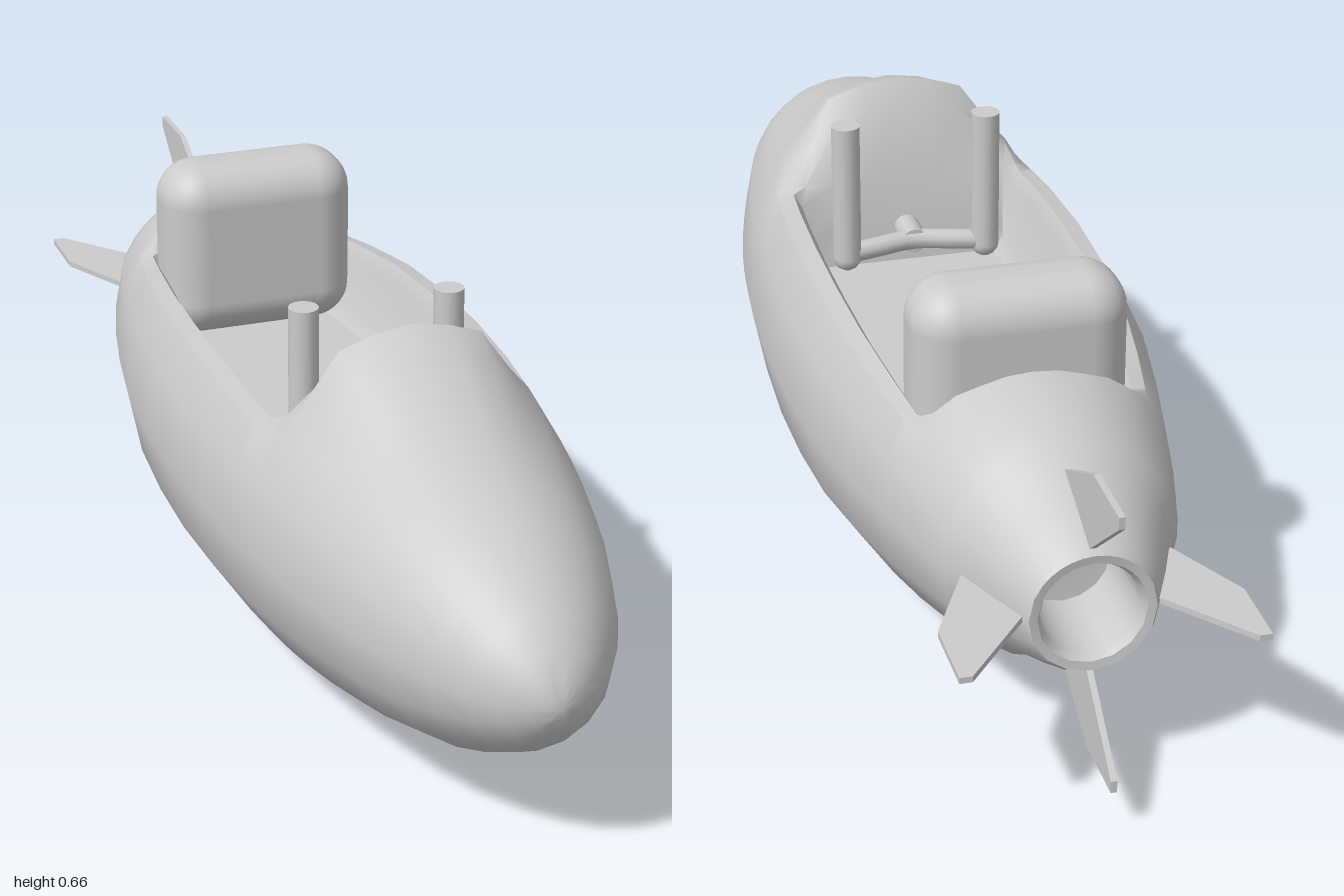
import * as THREE from 'three';
import { toCreasedNormals } from 'three/addons/utils/BufferGeometryUtils.js';
import { RoundedBoxGeometry } from 'three/addons/geometries/RoundedBoxGeometry.js';

const CY = 0.307; // height of the hull axis
const FLOOR = 0.34;
const RIM = 37; // angle of the cockpit rim above the axis, degrees
const material = new THREE.MeshStandardMaterial({ color: 0xcccccc, side: THREE.DoubleSide });

function part(name, geometry, x = 0, y = 0, z = 0) {
  const mesh = new THREE.Mesh(geometry, material);
  mesh.name = name;
  mesh.position.set(x, y, z);
  return mesh;
}

// Half section from keel to centre line: [x, y] points on the +x side
function halfSection(r, kind, lift) {
  const at = (deg) => {
    const a = THREE.MathUtils.degToRad(deg);
    return [r * Math.cos(a), CY + r * Math.sin(a)];
  };
  const points = [-90, -67.5, -45, -22.5, 0, 22.5, RIM].map(at);
  const [rx, ry] = at(RIM);
  const inner = rx * 0.88;
  if (kind === 'cockpit') {
    points.push([inner, ry + 0.005], [inner - 0.015, ry - 0.02],
      [inner - 0.03, FLOOR + 0.025], [inner - 0.05, FLOOR], [0, FLOOR]);
  } else if (kind === 'sill') {
    for (const f of [1, 0.88, 0.6, 0.3, 0]) points.push([inner * f, ry + 0.012]);
  } else {
    // closed deck, raised into a cowl by "lift"
    const weight = [0, 0.1, 0.85, 0.93, 1];
    const widen = [1, 2.2, 2.5, 2.5, 1];
    for (let k = 0; k < 5; k++) {
      const [x, y] = at(RIM + (90 - RIM) * (k + 1) / 5);
      points.push([k === 4 ? 0 : x * (1 + lift * widen[k]), y + lift * weight[k]]);
    }
  }
  return points;
}

// Hull: one skin from the nose, through the cockpit, to the inside of the tail nozzle
function hullGeometry() {
  const stations = [
    [1, 0], [0.997, 0.02], [0.985, 0.046], [0.96, 0.08], [0.92, 0.114], [0.86, 0.151],
    [0.78, 0.188], [0.69, 0.218], [0.6, 0.24, 'deck', 0.008], [0.52, 0.258, 'deck', 0.025],
    [0.44, 0.273, 'deck', 0.054], [0.375, 0.283, 'deck', 0.066], [0.35, 0.286, 'deck', 0.02],
    [0.305, 0.291, 'sill'], [0.285, 0.293, 'cockpit'],
    [0.2, 0.301, 'cockpit'], [0.05, 0.307, 'cockpit'], [-0.1, 0.304, 'cockpit'],
    [-0.25, 0.293, 'cockpit'], [-0.4, 0.267, 'cockpit'], [-0.495, 0.246, 'cockpit'],
    [-0.51, 0.243, 'sill'], [-0.535, 0.236, 'deck', -0.01], [-0.58, 0.224], [-0.65, 0.204],
    [-0.7, 0.187], [-0.73, 0.166], [-0.8, 0.137], [-0.865, 0.107], [-0.878, 0.099],
    [-0.876, 0.085], [-0.86, 0.077], [-0.72, 0.074], [-0.715, 0],
  ];
  const positions = [];
  const index = [];
  let n = 0;
  stations.forEach(([z, r, kind = 'deck', lift = 0], i) => {
    const half = halfSection(r, kind, lift);
    const mirrored = half.slice(1, -1).reverse().map(([x, y]) => [-x, y]);
    const ring = [...half, ...mirrored];
    n = ring.length;
    for (const [x, y] of ring) positions.push(x, y, z);
    if (i === 0) return;
    for (let j = 0; j < n; j++) {
      const a = (i - 1) * n + j, c = (i - 1) * n + (j + 1) % n;
      index.push(a, a + n, c, a + n, c + n, c);
    }
  });
  const geometry = new THREE.BufferGeometry();
  geometry.setAttribute('position', new THREE.Float32BufferAttribute(positions, 3));
  geometry.setIndex(index);
  return toCreasedNormals(geometry, 0.8);
}

// Thin swept fin, drawn in (radius, z) and turned about the hull axis
function fin(name, turn) {
  const outline = [[0.1, -0.79], [0.165, -0.735], [0.235, -0.875], [0.235, -1], [0.215, -1], [0.1, -0.86]];
  const shape = new THREE.Shape(outline.map(([r, z]) => new THREE.Vector2(r, -z)));
  const geometry = new THREE.ExtrudeGeometry(shape, { depth: 0.01, bevelEnabled: false });
  geometry.translate(0, 0, -0.005);
  geometry.rotateX(-Math.PI / 2);
  const mesh = part(name, geometry, 0, CY, 0);
  mesh.rotation.z = turn;
  return mesh;
}

// Steering bar: two upright grips on a bent crossbar, with a stem to the front wall
function handlebar() {
  const group = new THREE.Group();
  group.name = 'handlebar';
  for (const side of [-1, 1]) {
    group.add(part('grip', new THREE.CylinderGeometry(0.025, 0.025, 0.25, 16), side * 0.125, 0.515, 0.22));
    group.add(part('gripEnd', new THREE.SphereGeometry(0.025, 16, 8), side * 0.125, 0.39, 0.22));
  }
  const curve = new THREE.CatmullRomCurve3([
    [-0.125, 0.395, 0.22], [-0.07, 0.398, 0.228], [0, 0.4, 0.24], [0.07, 0.398, 0.228], [0.125, 0.395, 0.22],
  ].map((p) => new THREE.Vector3(...p)));
  group.add(part('crossbar', new THREE.TubeGeometry(curve, 16, 0.018, 10)));
  const stem = new THREE.CylinderGeometry(0.023, 0.023, 0.07, 12).rotateX(Math.PI / 2);
  group.add(part('stem', stem, 0, 0.4, 0.265));
  return group;
}

export function createModel() {
  const model = new THREE.Group();
  model.name = 'rocketCar';
  model.add(part('hull', hullGeometry()));
  model.add(part('seatBack', new RoundedBoxGeometry(0.35, 0.32, 0.16, 5, 0.07), 0, 0.498, -0.435));
  model.add(handlebar());
  ['leftFin', 'topFin', 'rightFin', 'bottomFin'].forEach((name, i) => model.add(fin(name, i * Math.PI / 2)));
  return model;
}
